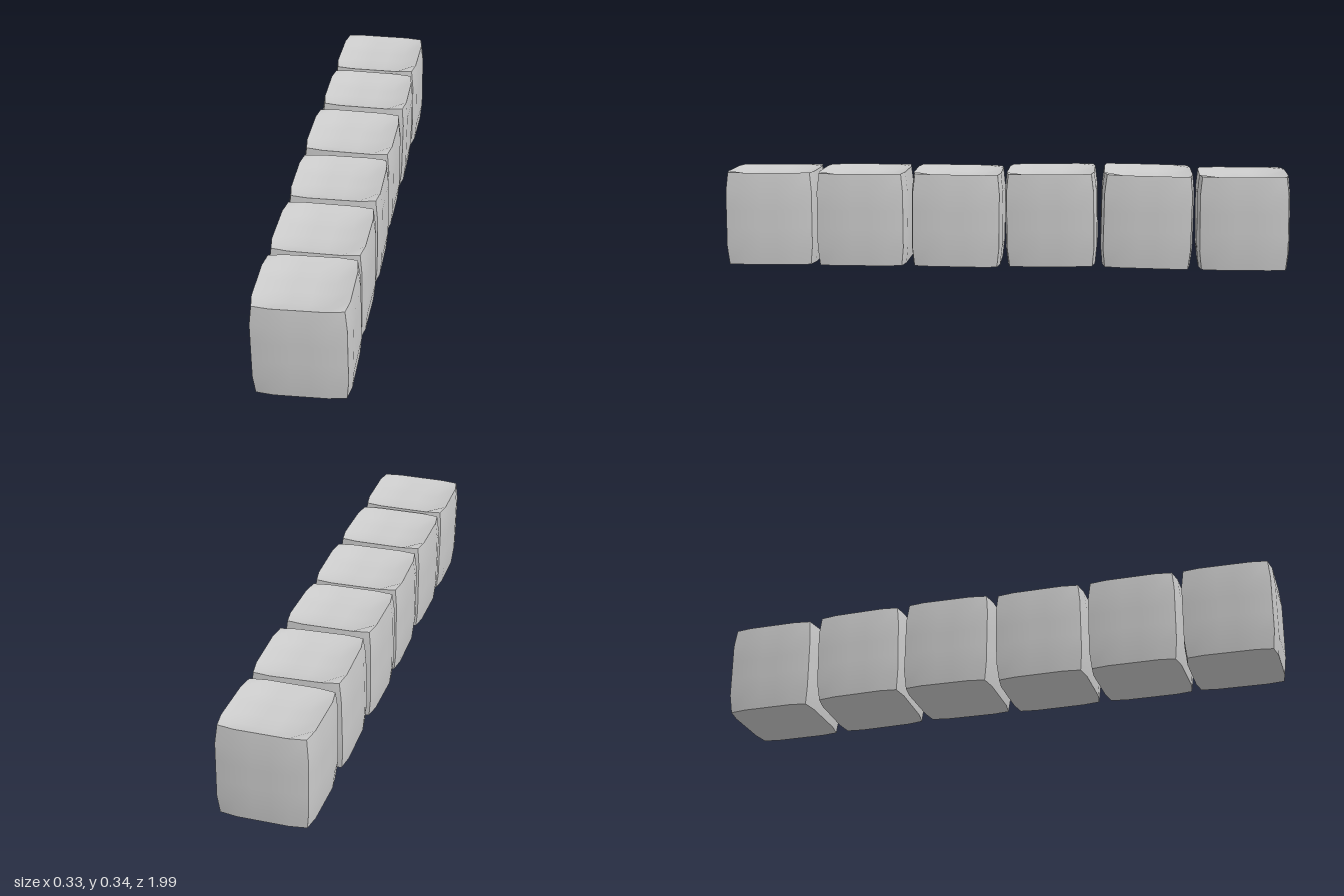
import * as THREE from 'three';

// 1 over the middle of a face, falling straight to 0 at its border
const swell = (t) => Math.min(1, (1 - Math.abs(t)) / 0.4);

// Cube with softly swollen sides, a dished top and a flat bottom; edges stay crisp
function cubeGeometry(h) {
  const geo = new THREE.BoxGeometry(2, 2, 2, 5, 5, 5);
  const p = geo.attributes.position;
  for (let i = 0; i < p.count; i++) {
    const x = p.getX(i), y = p.getY(i), z = p.getZ(i);
    const up = 0.007 * swell(y);
    const halfX = 0.145 + up + 0.009 * swell(z);
    const halfZ = 0.145 + up + 0.009 * swell(x);
    const dish = y > 0.99 ? 0.018 * swell(x) * swell(z) : 0;
    p.setXYZ(i, x * halfX, y * h / 2 - dish, z * halfZ);
  }
  geo.computeVertexNormals();
  return geo;
}

export function createModel() {
  const group = new THREE.Group();
  group.name = 'cubeRow';
  const material = new THREE.MeshStandardMaterial({ color: 0xcccccc });

  // Each cube: centre x, y, z, then slight tilts about x, y, z
  const cubes = [
    [-0.005, 0.175, 0.833, 0.005, 0.01, 0.02],
    [-0.005, 0.176, 0.507, 0.005, -0.01, 0.005],
    [-0.004, 0.176, 0.172, -0.01, 0.01, 0.005],
    [-0.006, 0.181, -0.162, 0.015, -0.01, -0.005],
    [0, 0.181, -0.498, -0.02, 0.01, -0.015],
    [0.003, 0.176, -0.835, 0.005, -0.015, 0.005],
  ];
  const geometry = cubeGeometry(0.326);
  cubes.forEach(([x, y, z, rx, ry, rz], i) => {
    const cube = new THREE.Mesh(geometry, material);
    cube.name = `cube${i + 1}`;
    cube.position.set(x, y, z);
    cube.rotation.set(rx, ry, rz);
    group.add(cube);
  });
  return group;
}
